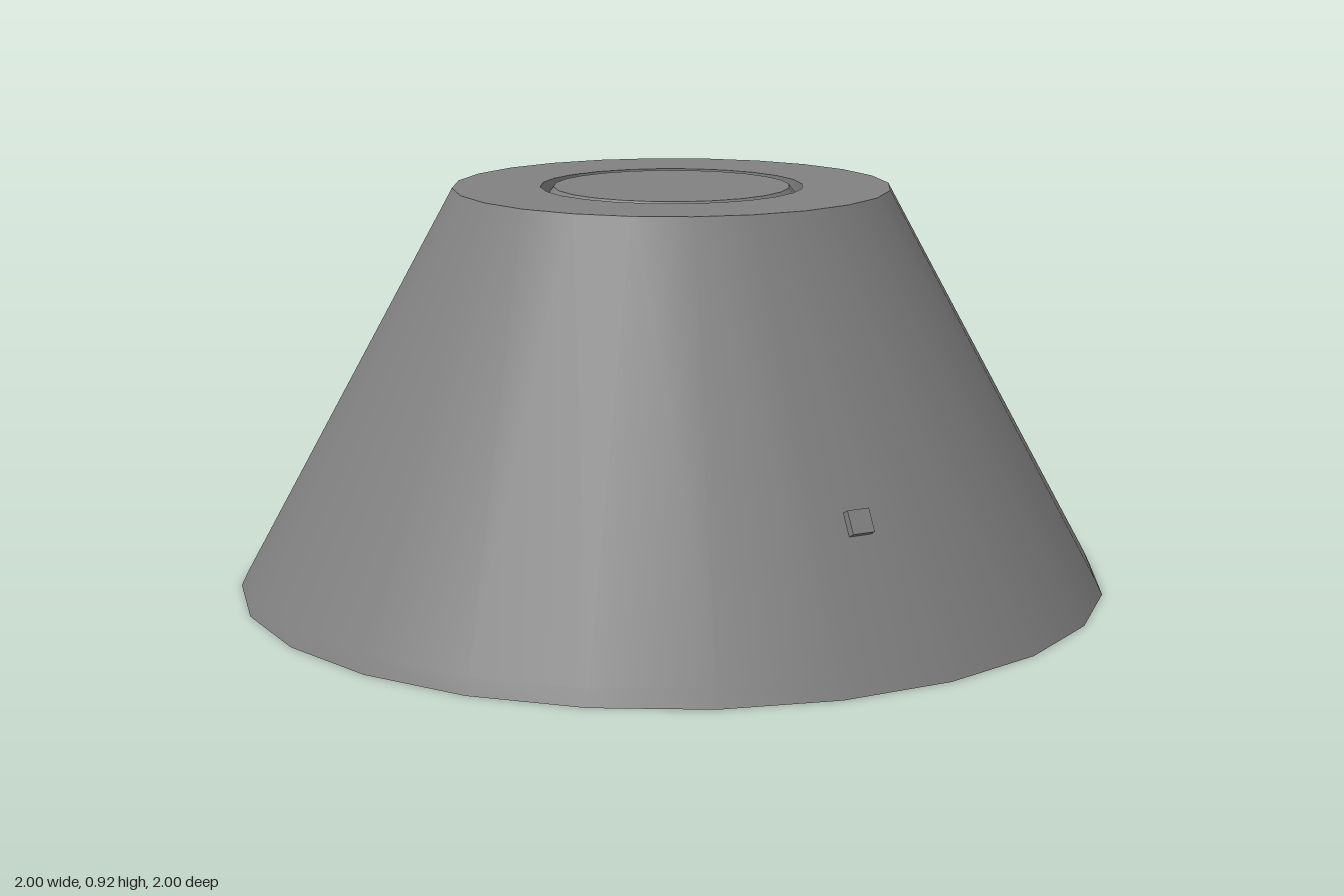
import * as THREE from 'three';
import { toCreasedNormals } from 'three/addons/utils/BufferGeometryUtils.js';

const gray = new THREE.MeshStandardMaterial({ color: 0x808080 });
gray.name = 'gray';
const tan = new THREE.MeshStandardMaterial({ color: 0x9b7e4a });
tan.name = 'tan';

const TOP = 0.92, SLOPE = 0.543;
const radiusAt = (y) => 0.5 + (TOP - y) * SLOPE;

function lathe(name, profile, sides) {
  const points = profile.map(([r, y]) => new THREE.Vector2(r, y));
  const mesh = new THREE.Mesh(toCreasedNormals(new THREE.LatheGeometry(points, sides), 0.4), gray);
  mesh.name = name;
  return mesh;
}

// Places an object on the sloping wall with its +z axis along the wall normal
function placeOnWall(object, angle, y, scale = 1) {
  const r = radiusAt(y) * scale;
  const dir = new THREE.Vector3(Math.sin(angle), 0, Math.cos(angle));
  object.position.copy(dir).multiplyScalar(r).setY(y);
  object.lookAt(object.position.clone().add(dir).add(new THREE.Vector3(0, SLOPE, 0)));
}

export function createModel() {
  const model = new THREE.Group();
  model.name = 'taperedBase';

  // Body: recessed underside, sloping wall, grooved top
  model.add(lathe('body', [
    [0, 0.033], [0.87, 0.033], [0.87, 0], [1, 0], [0.983, 0.035],
    [0.5, TOP], [0.3, TOP], [0.3, TOP - 0.04], [0.27, TOP], [0, TOP],
  ], 24));

  // Round socket on the back wall
  const socket = new THREE.Group();
  socket.name = 'backSocket';
  const rim = lathe('socketRim', [
    [0.1, -0.03], [0.1, 0.017], [0.086, 0.017], [0.086, 0.003], [0, 0.003],
  ], 24);
  rim.rotation.x = Math.PI / 2;
  socket.add(rim);
  placeOnWall(socket, Math.PI, 0.58);
  model.add(socket);

  // Small square buttons on opposite sides
  for (const [name, turn] of [['frontButton', 0], ['backButton', Math.PI]]) {
    const button = new THREE.Mesh(new THREE.BoxGeometry(0.052, 0.052, 0.04), gray);
    button.name = name;
    placeOnWall(button, THREE.MathUtils.degToRad(52.5) + turn, 0.313, 0.991);
    model.add(button);
  }

  // Thin pads under the base
  for (const x of [-0.16, 0.16]) {
    for (const z of [-0.735, 0.735]) {
      const pad = new THREE.Mesh(new THREE.BoxGeometry(0.17, 0.008, 0.17), tan);
      pad.name = 'basePad';
      pad.position.set(x, 0.03, z);
      model.add(pad);
    }
  }
  return model;
}
